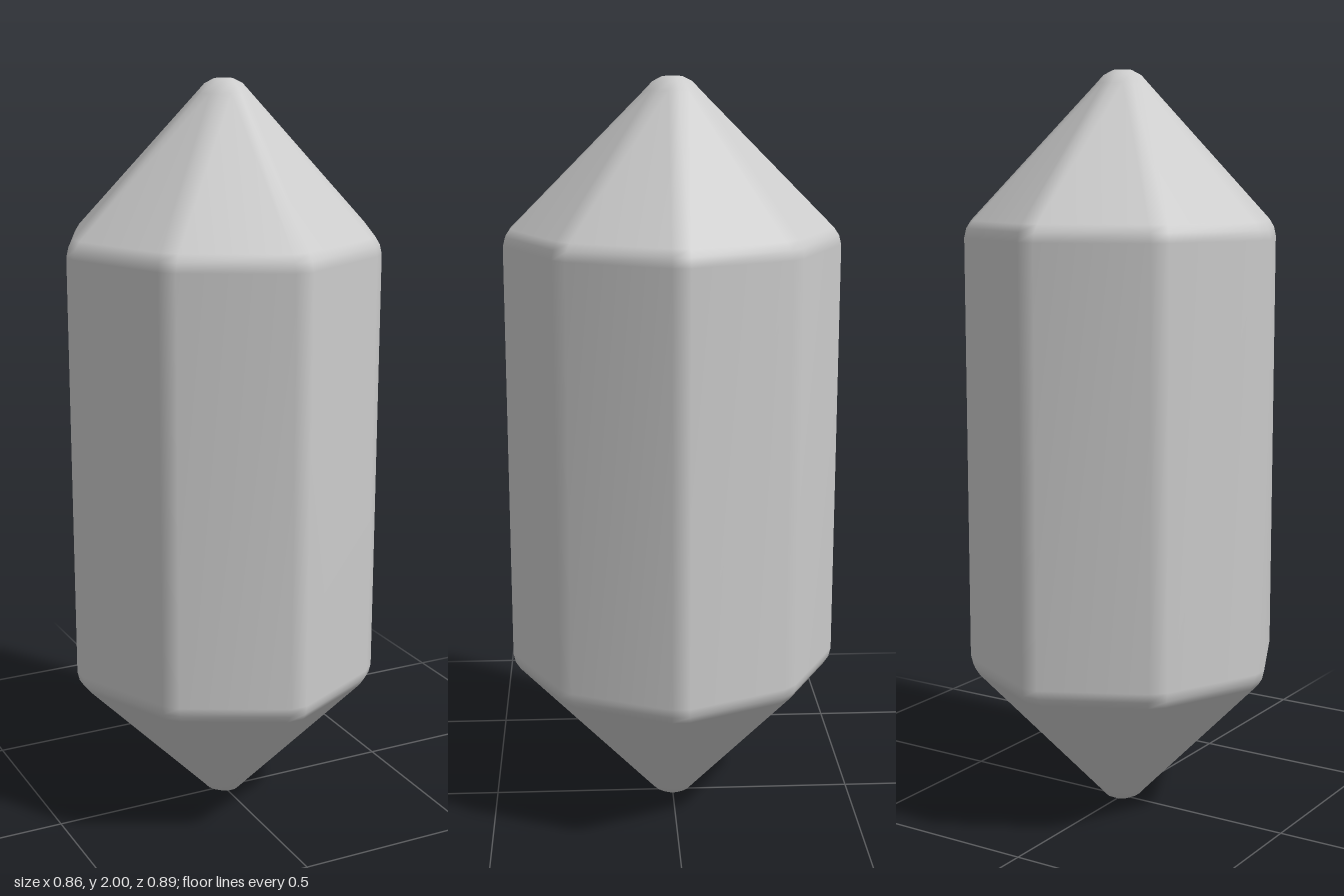
import * as THREE from 'three';

// Radius of the eight body corners, starting at +z and going round through +x
const CORNERS = [0.444, 0.42, 0.431, 0.42, 0.444, 0.42, 0.431, 0.42];
const BODY = 0.431;

// Upper half of the profile: [radius, height], shoulder bevel then rounded tip
const UPPER = [[0.431, 1.567], [0.425, 1.592], [0.412, 1.612], [0.07, 1.965], [0.05, 1.987], [0.025, 2]];

// One octagonal cross-section with bevelled corners (two points per corner)
function ring([radius, y]) {
  const half = Math.min(0.0235, radius * 0.2);
  return CORNERS.flatMap((corner, k) => {
    const a = k * Math.PI / 4, r = corner * radius / BODY;
    return [-half, half].map(t => [
      r * Math.sin(a) + t * Math.cos(a), y, r * Math.cos(a) - t * Math.sin(a)
    ]);
  });
}

// Skin the stacked cross-sections and close both tips
function crystalGeometry() {
  const lower = UPPER.map(([r, y]) => [r, 2 - y]).reverse();
  const rings = [...lower, ...UPPER].map(ring);
  const n = CORNERS.length * 2;
  const points = [...rings.flat(), [0, 0, 0], [0, 2, 0]];
  const bottom = points.length - 2, top = points.length - 1;
  const last = (rings.length - 1) * n;
  const index = [];
  for (let j = 0; j < n; j++) {
    const k = (j + 1) % n;
    for (let i = 0; i < last; i += n) {
      index.push(i + j, i + k, i + n + k, i + j, i + n + k, i + n + j);
    }
    index.push(bottom, k, j, top, last + j, last + k);
  }
  const geometry = new THREE.BufferGeometry();
  geometry.setAttribute('position', new THREE.Float32BufferAttribute(points.flat(), 3));
  geometry.setIndex(index);
  geometry.computeVertexNormals(); // area weighting keeps the facets flat and the bevels soft
  return geometry;
}

export function createModel() {
  const group = new THREE.Group();
  const crystal = new THREE.Mesh(crystalGeometry(), new THREE.MeshStandardMaterial({ color: 0xcccccc }));
  crystal.name = 'crystal';
  group.add(crystal);
  return group;
}
